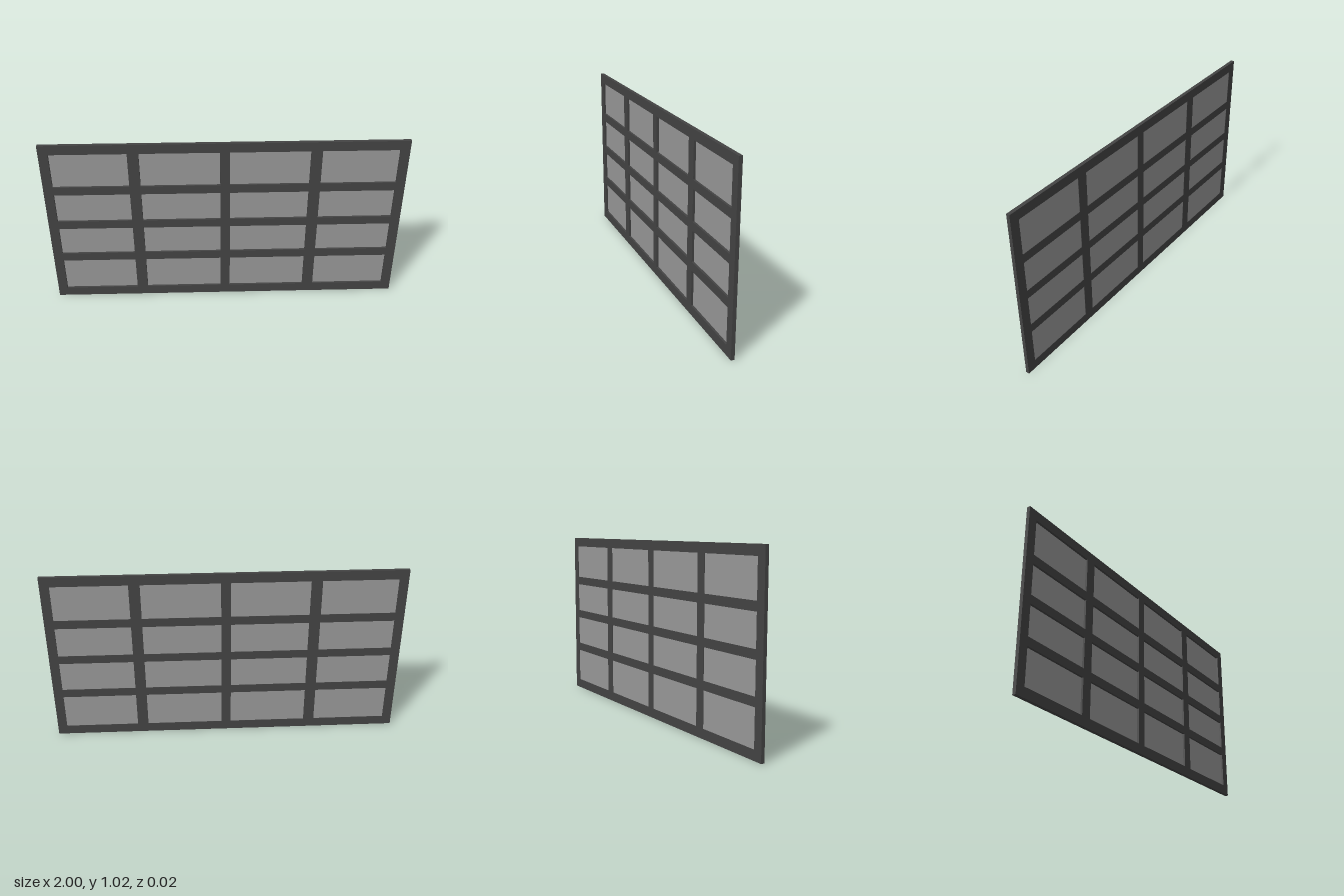
import * as THREE from 'three';

const HEIGHT = 1.017, DEPTH = 0.02;
// left/right and bottom/top limits of the openings
const COLUMNS = [[-0.947, -0.527], [-0.465, -0.027], [0.027, 0.465], [0.527, 0.947]];
const ROWS = [[0.055, 0.259], [0.309, 0.484], [0.533, 0.708], [0.758, 0.962]];

function rectangle(PathType, x0, x1, y0, y1) {
  return new PathType([[x0, y0], [x1, y0], [x1, y1], [x0, y1]].map(([x, y]) => new THREE.Vector2(x, y)));
}

export function createModel() {
  const model = new THREE.Group();
  model.name = 'window';
  const frameMaterial = new THREE.MeshStandardMaterial({ color: 0x444444 });
  const glassMaterial = new THREE.MeshStandardMaterial({ color: 0x999999 });

  // Frame with its bars: one slab with sixteen openings
  const outline = rectangle(THREE.Shape, -1, 1, 0, HEIGHT);
  const panes = new THREE.Group();
  panes.name = 'panes';

  for (const [x0, x1] of COLUMNS) {
    for (const [y0, y1] of ROWS) {
      outline.holes.push(rectangle(THREE.Path, x0, x1, y0, y1));

      // Thin glass set a little towards the back
      const pane = new THREE.Mesh(new THREE.BoxGeometry(x1 - x0, y1 - y0, 0.006), glassMaterial);
      pane.name = 'pane';
      pane.position.set((x0 + x1) / 2, (y0 + y1) / 2, -0.005);
      panes.add(pane);
    }
  }

  const frameGeometry = new THREE.ExtrudeGeometry(outline, { depth: DEPTH, bevelEnabled: false });
  frameGeometry.translate(0, 0, -DEPTH / 2);
  const frame = new THREE.Mesh(frameGeometry, frameMaterial);
  frame.name = 'frame';

  model.add(frame, panes);
  return model;
}
